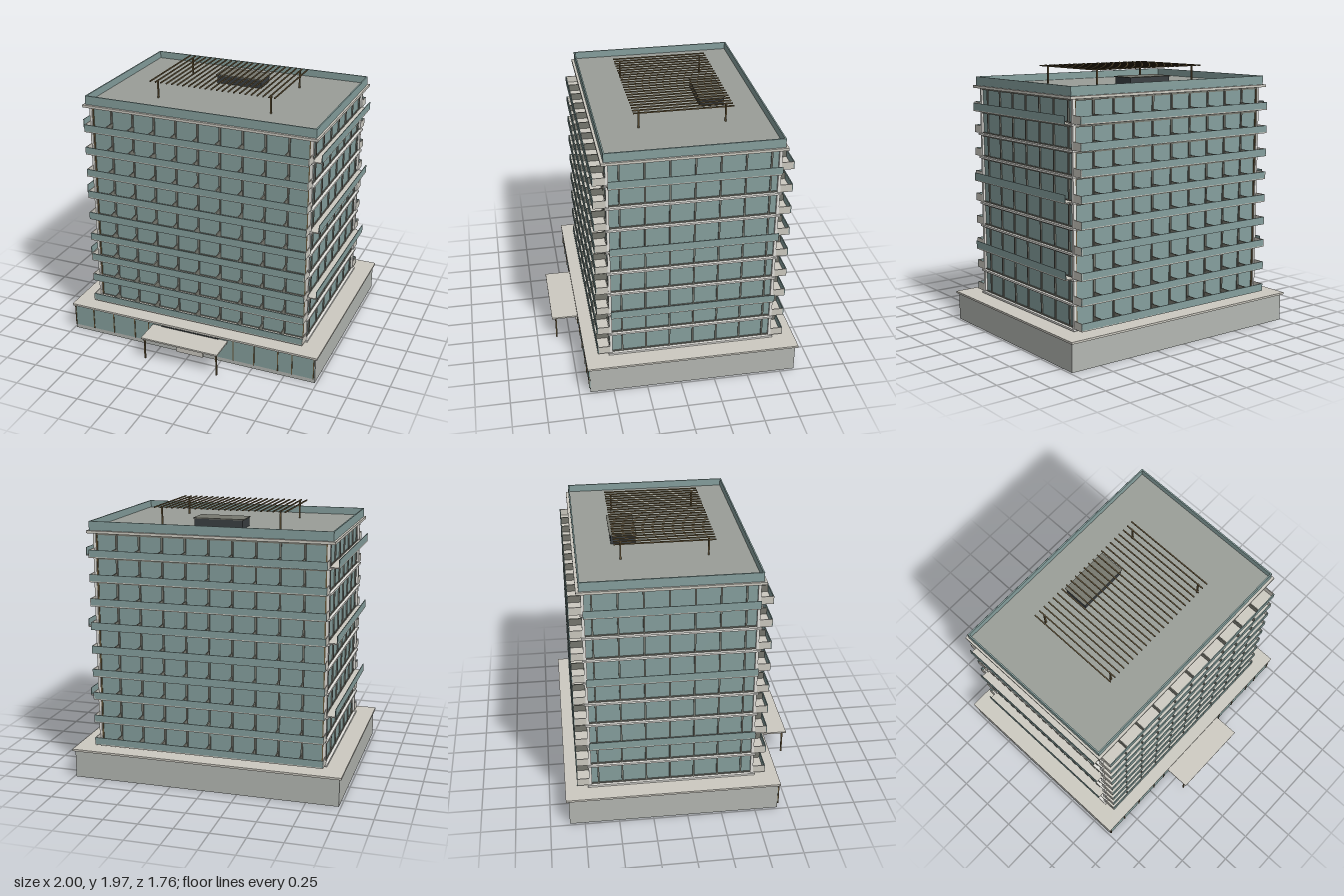
import * as THREE from 'three';

const paint = (color) => new THREE.MeshStandardMaterial({ color });
const glass = paint(0x86a09e), concrete = paint(0xb4b7b2), stone = paint(0xcdcac1),
  white = paint(0xe4e3de), frame = paint(0x77786f), bronze = paint(0x6a5a3c),
  dark = paint(0x3a3f42), roofGrey = paint(0x9a9e98);

// Box given by its min and max along each axis
function block(parent, name, mat, [x0, x1], [y0, y1], [z0, z1]) {
  const m = new THREE.Mesh(new THREE.BoxGeometry(x1 - x0, y1 - y0, z1 - z0), mat);
  m.position.set((x0 + x1) / 2, (y0 + y1) / 2, (z0 + z1) / 2);
  m.name = name;
  parent.add(m);
  return m;
}
const around = (c, w) => [c - w / 2, c + w / 2];
// Range from a to b mirrored to the side s about centre c
const side = (s, a, b, c = 0) => (s > 0 ? [c + a, c + b] : [c - b, c - a]);
function part(parent, name) {
  const g = new THREE.Group();
  g.name = name;
  parent.add(g);
  return g;
}

const ZC = -0.1;          // tower centre in z
const FLOORS = 9, BASE = 0.232, STEP = 0.175;
const BAY = 0.1705;

function buildPodium(root) {
  const g = part(root, 'podium');
  block(g, 'podiumBody', concrete, [-0.985, 0.985], [0, 0.205], [-0.86, 0.668]);
  block(g, 'podiumRoofSlab', stone, [-1, 1], [0.205, 0.22], [-0.88, 0.685]);
  block(g, 'shopGlazing', glass, [-0.98, 0.98], [0.035, 0.205], [0.66, 0.674]);
  for (const x of [-0.98, -0.82, -0.645, -0.463, -0.345, -0.195, 0.195, 0.35, 0.515, 0.7, 0.81, 0.975])
    block(g, 'shopMullion', bronze, around(x, 0.007), [0.035, 0.205], [0.67, 0.679]);

  // Entrance with canopy
  block(g, 'entranceDoor', stone, [-0.11, 0.105], [0, 0.165], [0.66, 0.682]);
  block(g, 'entranceFascia', dark, [-0.235, 0.235], [0.163, 0.2], [0.672, 0.682]);
  block(g, 'canopy', stone, [-0.306, 0.306], [0.18, 0.192], [0.675, 0.88]);
  for (const x of [-0.29, 0.29])
    block(g, 'canopyPost', bronze, around(x, 0.011), [0, 0.18], around(0.85, 0.011));
}

// Long balcony on the front (s = 1) or back (s = -1)
function buildBalcony(root, y, s) {
  const g = part(root, s > 0 ? 'frontBalcony' : 'backBalcony');
  const X = 0.855, top = y + 0.063;
  block(g, 'balconyFloor', stone, [-X, X], [y + 0.006, y + 0.014], side(s, 0.6, 0.692, ZC));
  block(g, 'balconyParapet', glass, [-X, X], [y + 0.008, top], side(s, 0.685, 0.692, ZC));
  for (const t of [-1, 1])
    block(g, 'balconyEnd', stone, side(t, X - 0.006, X), [y + 0.008, top], side(s, 0.6, 0.692, ZC));
  for (let i = -4; i <= 4; i++)
    block(g, 'balconyDivider', frame, around(i * BAY, 0.008), [y + 0.012, top], side(s, 0.59, 0.687, ZC));
}

// Shallow balcony on the left or right face, open at its ends
function buildSideBalcony(root, y, s) {
  const g = part(root, s > 0 ? 'leftBalcony' : 'rightBalcony');
  block(g, 'sideBalconyFloor', stone, side(s, 0.85, 0.918), [y + 0.002, y + 0.01], [-0.695, 0.495]);
  block(g, 'sideBalconyParapet', glass, side(s, 0.913, 0.918), [y + 0.008, y + 0.063], [-0.695, 0.495]);
}

function buildTower(root) {
  const g = part(root, 'tower');
  const top = BASE + FLOORS * STEP;
  block(g, 'glassCore', glass, [-0.84, 0.84], [0.22, top], [ZC - 0.59, ZC + 0.59]);

  // Corner columns
  for (const sx of [-1, 1]) for (const sz of [-1, 1]) {
    block(g, 'cornerColumn', white, side(sx, 0.836, 0.856), [0.22, top], side(sz, 0.583, 0.603, ZC));
    block(g, 'cornerFrame', bronze, side(sx, 0.826, 0.836), [0.22, top], side(sz, 0.587, 0.597, ZC));
  }

  for (let f = 0; f < FLOORS; f++) {
    const y = BASE + f * STEP, y1 = y + STEP;
    const floor = part(g, 'floor' + (f + 1));
    block(floor, 'floorSlab', white, [-0.868, 0.868], [y - 0.007, y + 0.007], [ZC - 0.613, ZC + 0.613]);
    for (const s of [-1, 1]) {
      // Window frames: mullions, head and sill rails
      for (let i = -4; i <= 4; i++)
        block(floor, 'mullion', frame, around(i * BAY, 0.014), [y, y1], side(s, 0.58, 0.6, ZC));
      for (let i = 0; i < 7; i++)
        block(floor, 'sideMullion', frame, side(s, 0.83, 0.849), [y, y1], around(0.41 - i * 0.174, 0.012));
      for (const r of [y + 0.011, y1 - 0.014]) {
        block(floor, 'windowRail', frame, [-0.836, 0.836], around(r, 0.01), side(s, 0.58, 0.597, ZC));
        block(floor, 'sideWindowRail', frame, side(s, 0.83, 0.847), around(r, 0.01), [ZC - 0.585, ZC + 0.585]);
      }
      buildBalcony(floor, y, s);
      if (f % 3 === 2) buildSideBalcony(floor, y, s);
    }
  }
}

function buildRoof(root) {
  const g = part(root, 'roof');
  block(g, 'roofSlab', stone, [-0.895, 0.895], [1.803, 1.822], [ZC - 0.635, ZC + 0.635]);
  block(g, 'roofDeck', roofGrey, [-0.87, 0.87], [1.82, 1.834], [ZC - 0.605, ZC + 0.605]);
  // Parapet ring
  for (const s of [-1, 1]) {
    block(g, 'parapet', glass, [-0.88, 0.88], [1.822, 1.887], side(s, 0.606, 0.616, ZC));
    block(g, 'sideParapet', glass, side(s, 0.87, 0.88), [1.822, 1.887], [ZC - 0.606, ZC + 0.606]);
  }
  // Rooftop plant box
  block(g, 'plantBox', dark, [-0.178, 0.178], [1.834, 1.897], [-0.453, -0.277]);
  block(g, 'plantBoxCap', frame, [-0.186, 0.186], [1.897, 1.904], [-0.461, -0.269]);

  // Pergola
  const p = part(g, 'pergola');
  for (const x of [-0.44, 0.44]) for (const z of [-0.405, 0.21])
    block(p, 'pergolaPost', bronze, around(x, 0.011), [1.834, 1.968], around(z, 0.011));
  for (let i = 0; i < 23; i++)
    block(p, 'pergolaSlat', bronze, around(-0.484 + i * 0.0439, 0.008), [1.962, 1.971], [-0.452, 0.255]);
}

export function createModel() {
  const root = new THREE.Group();
  root.name = 'apartmentTower';
  buildPodium(root);
  buildTower(root);
  buildRoof(root);
  return root;
}
